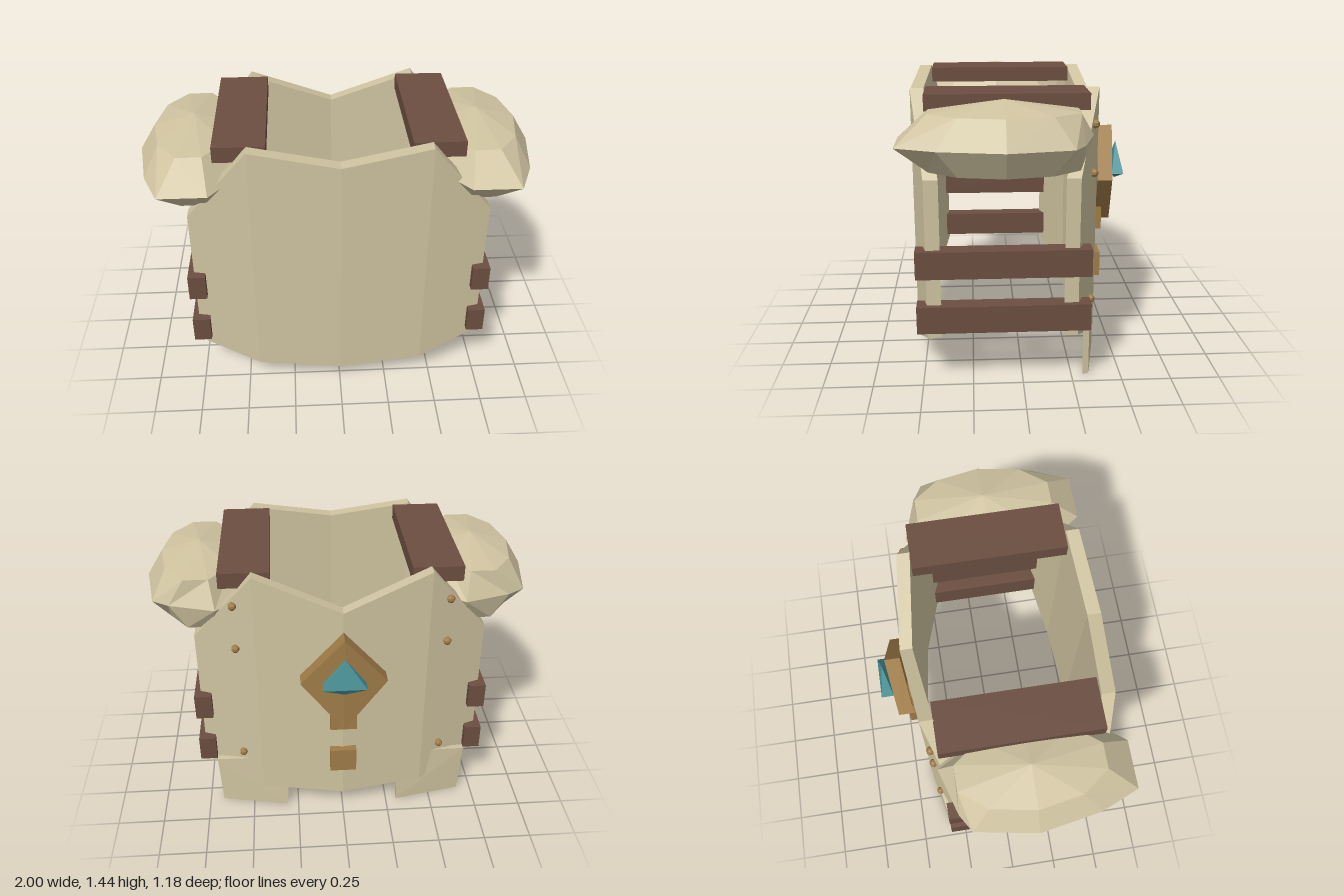
import * as THREE from 'three';

const mat = (color, extra = {}) => new THREE.MeshStandardMaterial({ color, flatShading: true, ...extra });
const bone = mat(0xcfc3a0), leather = mat(0x6b4e40), bronze = mat(0xa07c48), teal = mat(0x4b9498);

// Closed solid through rings of points, with fan caps; faces always point outward.
function loft(rings) {
  const tris = [];
  const tri = (a, b, c) => {
    const [p, q, r] = [a, b, c].map(v => new THREE.Vector3(...v));
    if (new THREE.Triangle(p, q, r).getArea() > 1e-8) tris.push([p, q, r]);
  };
  const n = rings[0].length;
  for (let i = 0; i < rings.length - 1; i++) {
    for (let j = 0; j < n; j++) {
      const k = (j + 1) % n, a = rings[i], b = rings[i + 1];
      tri(a[j], a[k], b[k]);
      tri(a[j], b[k], b[j]);
    }
  }
  const first = rings[0], last = rings[rings.length - 1];
  for (let j = 1; j < n - 1; j++) {
    tri(first[0], first[j + 1], first[j]);
    tri(last[0], last[j], last[j + 1]);
  }
  const volume = tris.reduce((s, [p, q, r]) => s + p.dot(q.clone().cross(r)), 0);
  if (volume < 0) tris.forEach(t => t.reverse());
  const geo = new THREE.BufferGeometry().setFromPoints(tris.flat());
  geo.computeVertexNormals();
  return geo;
}

export function createModel() {
  const model = new THREE.Group();
  model.name = 'bodyArmour';

  const add = (name, geo, material, x = 0, y = 0, z = 0) => {
    const mesh = new THREE.Mesh(geo, material);
    mesh.name = name;
    mesh.position.set(x, y, z);
    model.add(mesh);
    return mesh;
  };
  const bar = (name, material, [x0, x1], [y0, y1], [z0, z1]) =>
    add(name, new THREE.BoxGeometry(x1 - x0, y1 - y0, z1 - z0), material,
      (x0 + x1) / 2, (y0 + y1) / 2, (z0 + z1) / 2);

  // Chest and back plates: columns of [x, bottom, top, outer z, inner z]
  const plate = (name, half) => {
    const mirrored = half.slice(1).reverse().map(([x, ...rest]) => [-x, ...rest]);
    add(name, loft([...mirrored, ...half].map(([x, b, t, zo, zi]) =>
      [[x, b, zo], [x, t, zo], [x, t, zi], [x, b, zi]])), bone);
  };
  plate('frontPlate', [[0, 0.105, 1.365, 0.57, 0.5], [0.44, 0.13, 1.44, 0.537, 0.47], [0.75, 0.26, 1.06, 0.47, 0.4]]);
  plate('backPlate', [[0, 0.105, 1.26, -0.445, -0.38], [0.44, 0.13, 1.44, -0.39, -0.323], [0.75, 0.26, 1.06, -0.27, -0.2]]);

  for (const s of [1, -1]) {
    const side = s > 0 ? 'left' : 'right';
    const span = (a, b) => (s > 0 ? [a, b] : [-b, -a]);

    // Shoulder and side straps
    bar(side + 'ShoulderStrap', leather, span(0.35, 0.605), [1.355, 1.435], [-0.325, 0.465]);
    for (const y of [0.295, 0.577]) {
      bar(side + 'SideStrap', leather, span(0.69, 0.78), [y, y + 0.138], [-0.33, 0.52]);
    }

    // Faceted shoulder pad, slightly flattened at the back
    const padRing = (phi) => {
      const r = Math.sin(phi), y = 1.24 + 0.19 * Math.cos(phi);
      return Array.from({ length: 10 }, (_, k) => {
        const a = (k * Math.PI) / 5;
        let x = 0.715 + 0.285 * r * Math.cos(a), z = 0.09 + 0.523 * r * Math.sin(a);
        if (r > 0.9) {
          if (k === 2) x = 0.866;
          if (k === 7) z = -0.34;
          if (k === 8) [x, z] = [0.86, -0.27];
        }
        return [s * x, y, z];
      });
    };
    add(side + 'ShoulderPad', loft([0, 1, 2, 3, 4].map(i => padRing((i * Math.PI) / 4))), bone);

    // Hanging hip guard on the back plate
    const guard = [[0.31, 0, -0.41], [0.675, 0, -0.338], [0.69, 0.29, -0.335], [0.295, 0.34, -0.4]];
    add(side + 'HipGuard', loft([0, 0.03].map(d => guard.map(([x, y, z]) => [s * x, y, z + d]))), bone);

    // Rivets
    for (const y of [0.36, 1.03, 1.275]) {
      add(side + 'Rivet', new THREE.SphereGeometry(0.022, 7, 5), bronze, s * 0.54, y, -0.36);
    }
  }

  // Diamond emblem folded along its upright axis
  const diamond = (zMid, zSide) => [[0, 1.16, zMid], [0.22, 0.9, zSide], [0, 0.62, zMid], [-0.22, 0.9, zSide]];
  add('diamondMount', loft([diamond(-0.535, -0.51), diamond(-0.455, -0.43)]), bronze);

  // Gem with a tall upper and a short lower point
  const point = (y) => Array(4).fill([0, y, -0.558]);
  const girdle = [[0.11, 0.907, -0.525], [0.11, 0.907, -0.59], [-0.11, 0.907, -0.59], [-0.11, 0.907, -0.525]];
  add('gem', loft([point(0.86), girdle, point(1.07)]), teal);

  // Small studs down the spine
  for (const y of [0.295, 0.577]) {
    bar('spineStud', bronze, [-0.07, 0.07], [y, y + 0.138], [-0.48, -0.42]);
  }
  return model;
}
